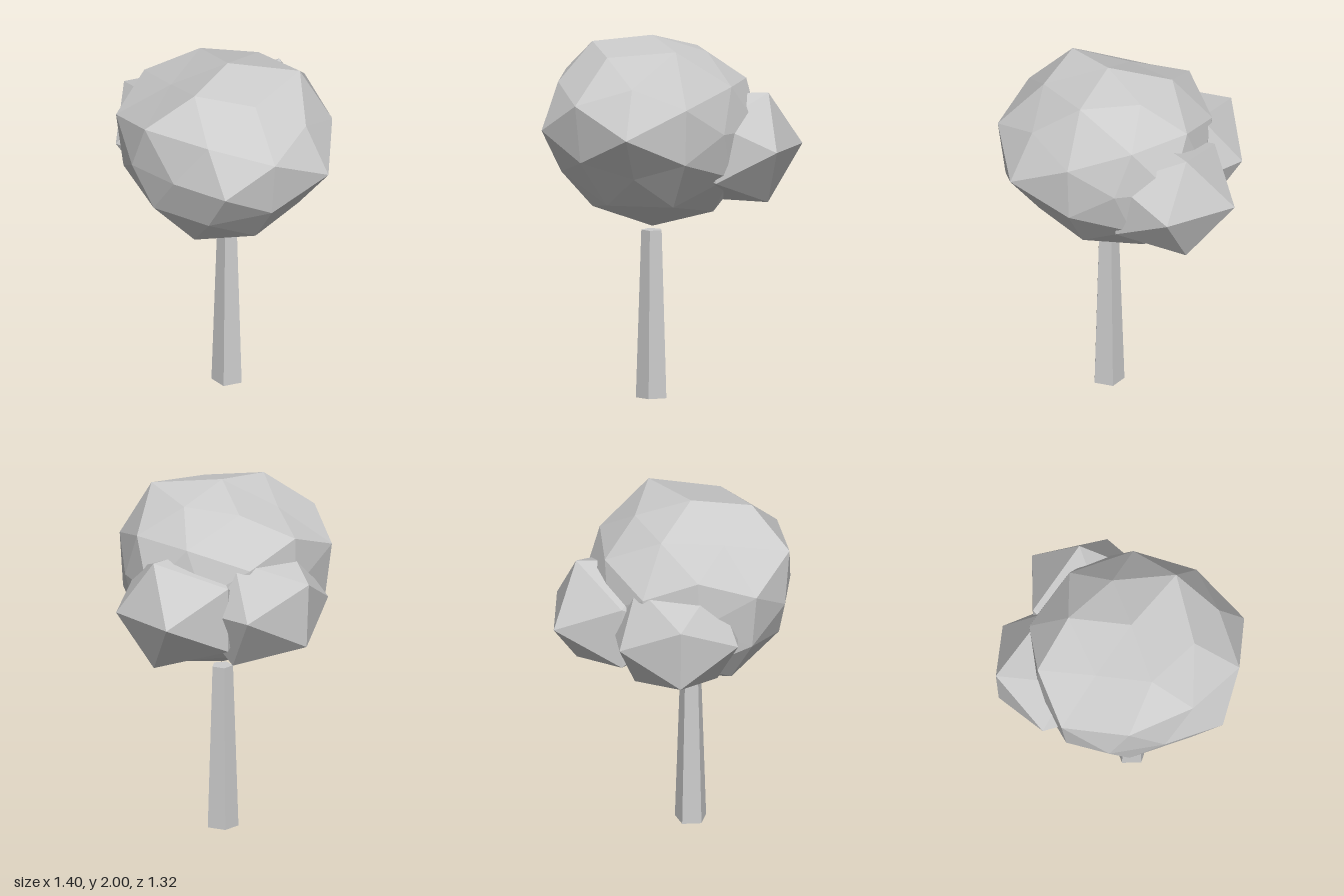
import * as THREE from 'three';

const SQUASH = 0.84; // foliage is flattened in height

// Names a direction by its dominant axis and the sign of each component, e.g. "y0+-"
function directionKey(v) {
  const a = v.toArray();
  const size = a.map(Math.abs);
  const axis = 'xyz'[size.indexOf(Math.max(...size))];
  return axis + a.map((c) => (Math.abs(c) < 0.01 ? '0' : c > 0 ? '+' : '-')).join('');
}

// Faceted leaf clump: an icosahedron whose corners are pushed in or out
function makeClump(name, material, detail, center, radius, radii) {
  const geometry = new THREE.IcosahedronGeometry(1, detail).rotateY(Math.PI / 2);
  const pos = geometry.attributes.position;
  const v = new THREE.Vector3();
  for (let i = 0; i < pos.count; i++) {
    v.fromBufferAttribute(pos, i);
    v.multiplyScalar(radii[directionKey(v)] ?? radius);
    pos.setXYZ(i, v.x, v.y * SQUASH, v.z);
  }
  geometry.computeVertexNormals();
  const mesh = new THREE.Mesh(geometry, material);
  mesh.name = name;
  mesh.position.set(...center);
  return mesh;
}

export function createModel() {
  const group = new THREE.Group();
  group.name = 'tree';
  const grey = new THREE.MeshStandardMaterial({ color: 0xcccccc });
  grey.name = 'light grey';

  // Five-sided tapering trunk
  const trunkGeometry = new THREE.CylinderGeometry(0.06, 0.09, 0.925, 5)
    .rotateY(Math.PI / 2)
    .toNonIndexed();
  trunkGeometry.computeVertexNormals();
  const trunk = new THREE.Mesh(trunkGeometry, grey);
  trunk.name = 'trunk';
  trunk.position.set(0.045, 0.4625, 0.11);
  group.add(trunk);

  // Large crown
  group.add(makeClump('crown', grey, 1, [0.045, 1.5, 0.11], 0.6, {
    'x+00': 0.655, 'x-00': 0.55, 'y0+0': 0.595, 'y0-0': 0.66, 'z00+': 0.545,
    'y0++': 0.637, 'y0+-': 0.584, 'y0-+': 0.637, 'y0--': 0.65,
    'x++0': 0.598, 'x+-0': 0.54, 'x-+0': 0.64, 'x--0': 0.605,
    'z+0+': 0.64, 'z-0+': 0.58, 'z+0-': 0.55, 'z-0-': 0.56,
    'y++-': 0.67, 'y-++': 0.53, 'y--+': 0.64,
    'x+++': 0.635, 'x+-+': 0.59, 'x+--': 0.58, 'x-++': 0.643,
    'z-++': 0.65, 'z+-+': 0.58, 'z--+': 0.58, 'z+--': 0.59,
  }));

  // Two small clumps on the right and the back
  group.add(makeClump('sideClump', grey, 0, [-0.345, 1.405, 0], 0.41, {
    'x-+0': 0.42, 'x--0': 0.4, 'z-0+': 0.382, 'z-0-': 0.382,
    'y0-+': 0.43, 'y0--': 0.43,
  }));
  group.add(makeClump('backClump', grey, 0, [-0.03, 1.385, -0.3], 0.4, {
    'z-0-': 0.428, 'z+0-': 0.37, 'y0+-': 0.427, 'y0--': 0.42,
    'x-+0': 0.41, 'x--0': 0.41, 'x++0': 0.37, 'x+-0': 0.37,
  }));

  return group;
}
